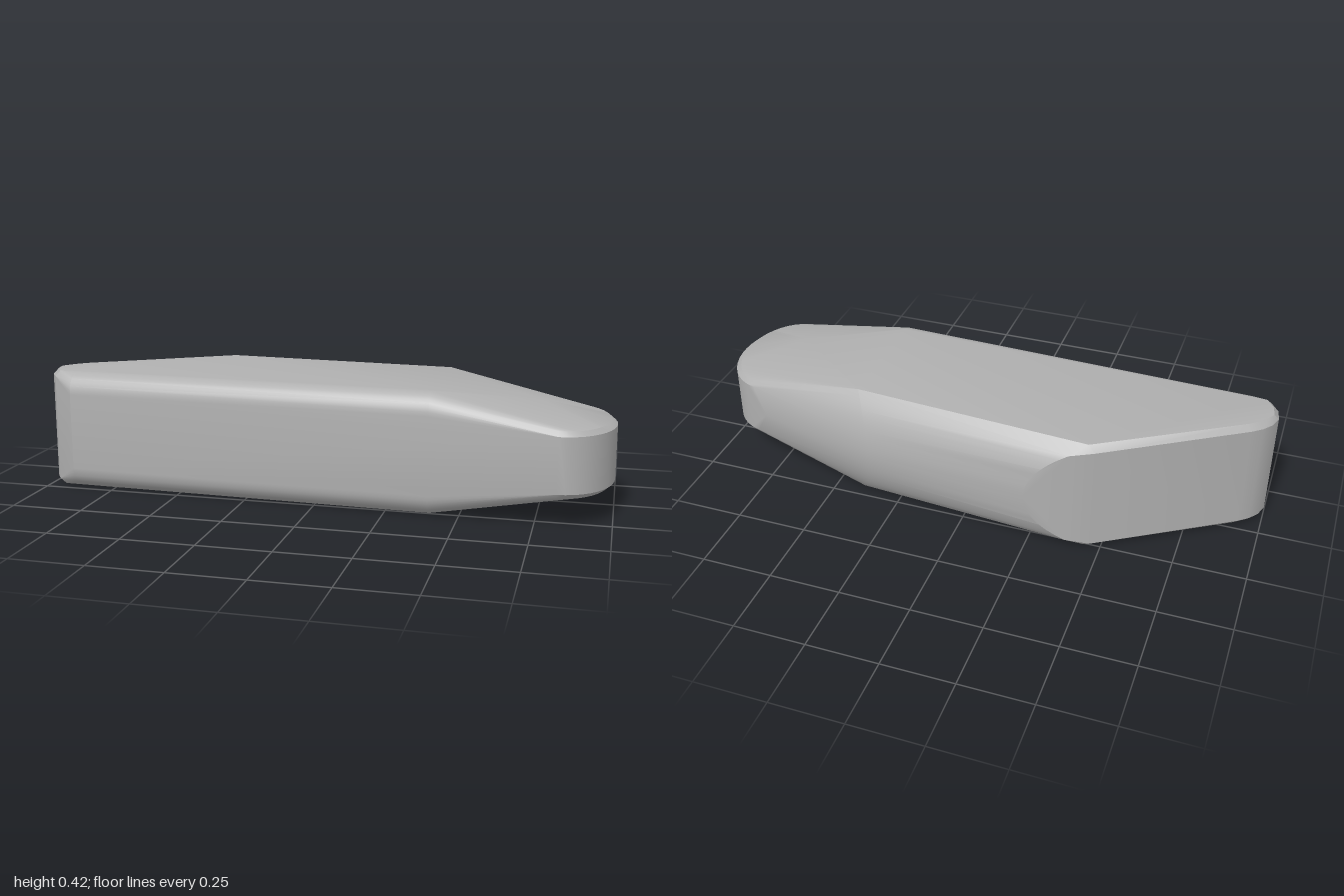
import * as THREE from 'three';
import { ConvexGeometry } from 'three/addons/geometries/ConvexGeometry.js';
import { toCreasedNormals } from 'three/addons/utils/BufferGeometryUtils.js';

const MID = 0.21; // height of the horizontal symmetry plane

export function createModel() {
  const points = [];
  // adds a point above and below the symmetry plane
  const pair = (x, z, h) => {
    points.push(new THREE.Vector3(x, MID + h, z));
    points.push(new THREE.Vector3(x, MID - h, z));
  };
  const lerp = THREE.MathUtils.lerp;

  // rounded nose: upright wall with a narrow bevel
  for (let i = 0; i <= 20; i++) {
    const a = lerp(-Math.PI / 2, Math.PI / 2, i / 20);
    const x = 0.82 + 0.18 * Math.cos(a);
    const z = 0.085 + 0.235 * Math.sin(a);
    pair(x, z, 0.095);
    pair(x - 0.02 * Math.cos(a), z - 0.012 * Math.sin(a), 0.111);
  }
  pair(0.79, -0.175, 0); // where the bulging back meets the nose
  pair(0.75, 0.11, 0.172); // crown of the tapered nose

  // bulging back, an arc between its two bend curves
  for (let i = 0; i <= 10; i++) {
    const a = (i / 10) * 0.9;
    const h = 0.21 * Math.sin(a) / Math.sin(0.9);
    const t = (1 - Math.cos(a)) / (1 - Math.cos(0.9));
    pair(lerp(0.34, 0.4, t), lerp(-0.286, -0.197, t), h);
    if (h < 0.19) pair(lerp(-0.24, -0.46, t), lerp(-0.328, -0.275, t), h);
  }

  // slanted cut and rounded tail: upright wall with a narrow bevel
  pair(-0.465, -0.27, 0.19);
  pair(-0.44, -0.255, 0.21);
  const tail = [[-0.925, 0.02], [-0.96, 0.048], [-0.985, 0.08], [-1, 0.125], [-0.992, 0.17], [-0.965, 0.21]];
  for (const [x, z] of tail) {
    pair(x, z, 0.19);
    pair(x + 0.016, z + (z < 0.1 ? 0.012 : -0.012), 0.21);
  }

  // rounded long front edge
  for (let i = 0; i <= 8; i++) {
    const a = (i / 8) * Math.PI / 2;
    const inset = 0.07 * (1 - Math.cos(a));
    const h = 0.135 + 0.075 * Math.sin(a);
    pair(-0.89, 0.256 - inset, h);
    pair(0.4, 0.304 - inset, h);
  }

  const shell = new THREE.MeshStandardMaterial({ color: 0xb0b0b0 });
  shell.name = 'shellGrey';
  const body = new THREE.Mesh(toCreasedNormals(new ConvexGeometry(points), 0.45), shell);
  body.name = 'body';

  const group = new THREE.Group();
  group.name = 'taperedBlock';
  group.add(body);
  return group;
}
